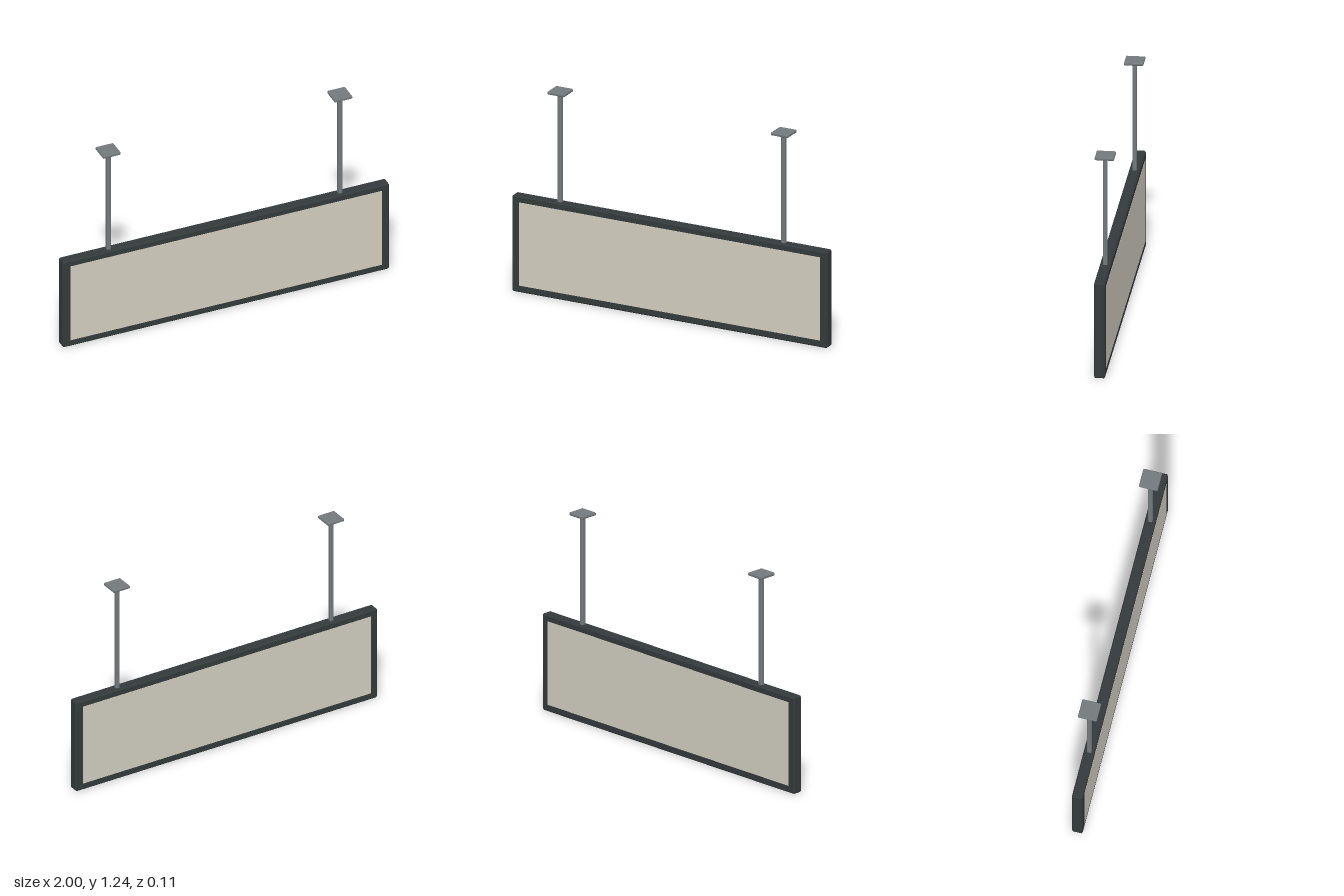
import * as THREE from 'three';

const material = (color) => new THREE.MeshStandardMaterial({ color, flatShading: true });

// Box with every edge cut by a flat chamfer c, centred on the origin
function chamferBox(w, h, d, c) {
  const x = w / 2 - c, y = h / 2 - c, k = c * (Math.SQRT2 - 1);
  const outline = new THREE.Shape([
    [x - k, -y], [x, -y + k], [x, y - k], [x - k, y],
    [-x + k, y], [-x, y - k], [-x, -y + k], [-x + k, -y],
  ].map(([px, py]) => new THREE.Vector2(px, py)));
  const geometry = new THREE.ExtrudeGeometry(outline, {
    depth: d - 2 * c, bevelEnabled: true, bevelSegments: 1, bevelSize: c, bevelThickness: c,
  });
  return geometry.translate(0, 0, -d / 2 + c);
}

export function createModel() {
  const model = new THREE.Group();
  model.name = 'hangingSign';
  const dark = material(0x34393b);
  const steel = material(0x73797c);
  const cream = material(0xd2cec0);

  const add = (name, geometry, mat, x, y, z) => {
    const mesh = new THREE.Mesh(geometry, mat);
    mesh.name = name;
    mesh.position.set(x, y, z);
    model.add(mesh);
  };

  // Sign body
  add('frame', chamferBox(2, 0.576, 0.062, 0.007), dark, 0, 0.288, 0);

  // Display faces on both sides
  const face = new THREE.BoxGeometry(1.912, 0.498, 0.004);
  add('frontPanel', face, cream, 0, 0.29, 0.03);
  add('backPanel', face, cream, 0, 0.29, -0.03);

  // Hanging rods with ceiling plates
  const rod = chamferBox(0.025, 0.67, 0.025, 0.004);
  const plate = chamferBox(0.109, 0.018, 0.109, 0.004);
  for (const [side, x] of [['left', 0.71], ['right', -0.71]]) {
    add(side + 'Rod', rod, steel, x, 0.9, 0);
    add(side + 'CeilingPlate', plate, steel, x, 1.234, 0);
  }
  return model;
}
